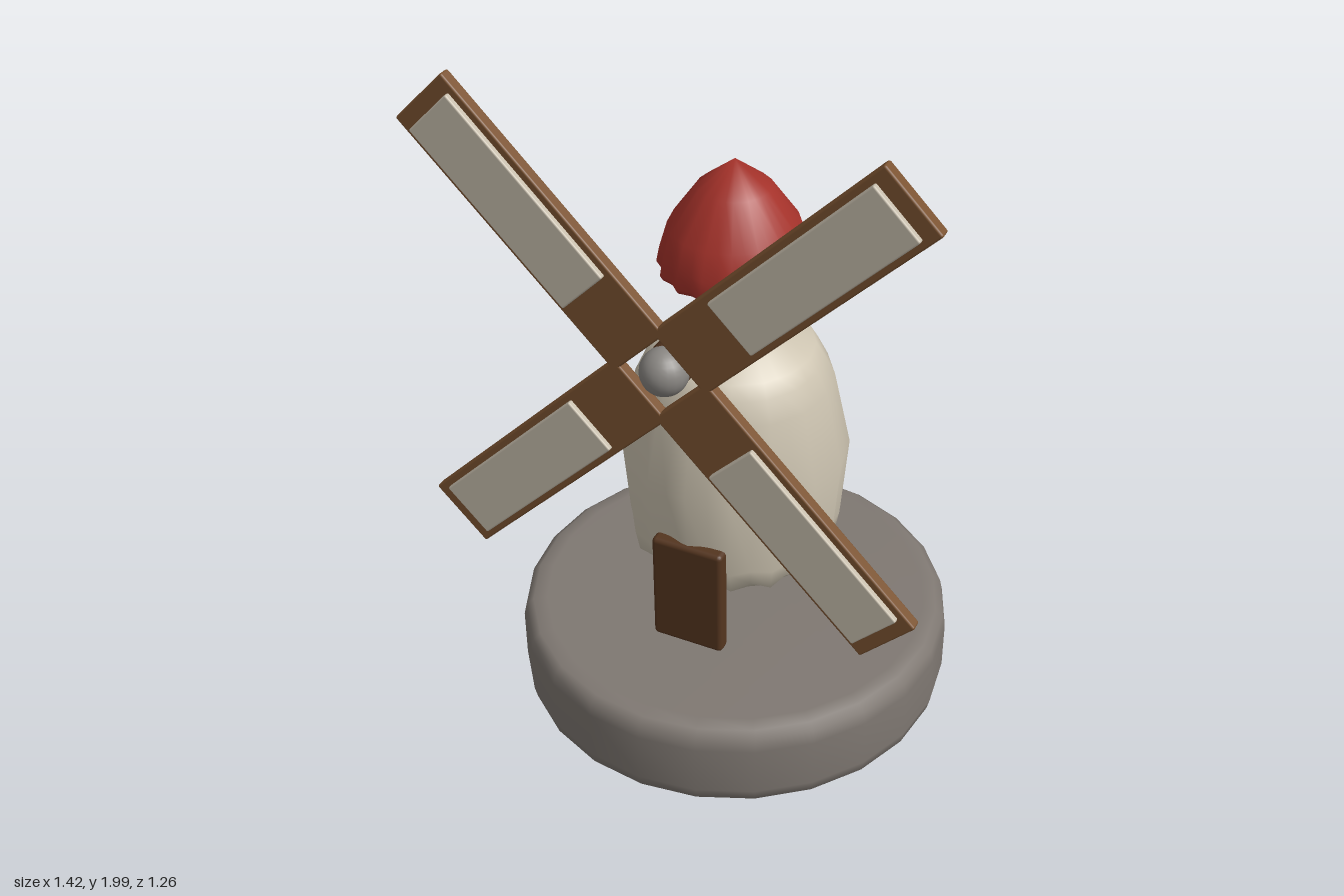
import * as THREE from 'three';
import { mergeVertices } from 'three/addons/utils/BufferGeometryUtils.js';
import { RoundedBoxGeometry } from 'three/addons/geometries/RoundedBoxGeometry.js';

function material(name, color) {
  const m = new THREE.MeshStandardMaterial({ color });
  m.name = name;
  return m;
}

// Lathe with seam welded; odd columns are scaled per profile point: [radius, y, oddScale, oddLift]
function flutedLathe(profile, segments) {
  const geo = new THREE.LatheGeometry(profile.map(([r, y]) => new THREE.Vector2(r, y)), segments);
  const pos = geo.attributes.position;
  const n = profile.length;
  for (let i = 0; i < pos.count; i++) {
    if (Math.floor(i / n) % 2 === 0) continue;
    const [, y, scale = 1, lift = 0] = profile[i % n];
    pos.setXYZ(i, pos.getX(i) * scale, y + lift, pos.getZ(i) * scale);
  }
  geo.deleteAttribute('uv');
  geo.deleteAttribute('normal');
  const welded = mergeVertices(geo, 1e-5);
  welded.computeVertexNormals();
  return welded;
}

export function createModel() {
  const model = new THREE.Group();
  model.name = 'windmill';
  const stone = material('stone grey', 0x7f7872);
  const plaster = material('cream plaster', 0xcdc4b1);
  const roofRed = material('roof red', 0xa5322a);
  const wood = material('sail wood', 0x7a5230);
  const darkWood = material('dark wood', 0x54351f);
  const cloth = material('sail cloth', 0xc6bdac);
  const metal = material('hub grey', 0x8a8783);

  function add(parent, name, geo, mat, x = 0, y = 0, z = 0) {
    const mesh = new THREE.Mesh(geo, mat);
    mesh.name = name;
    mesh.position.set(x, y, z);
    parent.add(mesh);
    return mesh;
  }

  // Round stone base with softened rims
  add(model, 'base', flutedLathe([
    [0, 0.005], [0.56, 0.005], [0.6, 0.008], [0.622, 0.025], [0.63, 0.06],
    [0.63, 0.21], [0.622, 0.247], [0.6, 0.265], [0.56, 0.27], [0, 0.27],
  ], 24), stone);

  // Barrel-shaped tower, pointed at both ends and fluted low down
  add(model, 'tower', flutedLathe([
    [0, 0.315], [0.24, 0.465, 0.98], [0.29, 0.495, 0.95, 0.015], [0.302, 0.56, 0.95],
    [0.323, 0.815, 0.981], [0.275, 1.04, 0.981], [0.245, 1.1, 0.981],
    [0.222, 1.14, 0.981], [0, 1.31],
  ], 32), plaster);

  // Pointed cap with a scalloped rim
  add(model, 'cap', flutedLathe([
    [0, 1.302], [0.2, 1.37, 0.93], [0.209, 1.385, 0.93], [0.2, 1.43, 0.95],
    [0.178, 1.505, 0.98], [0.1, 1.615, 0.98], [0, 1.692],
  ], 32), roofRed);

  // Door
  add(model, 'door', new RoundedBoxGeometry(0.214, 0.345, 0.046, 2, 0.014), darkWood, 0, 0.478, 0.299);

  // Rotor: axle, hub and four sails
  const rotor = new THREE.Group();
  rotor.name = 'rotor';
  rotor.position.y = 1.29;
  model.add(rotor);

  const axleProfile = [[0, -0.075], [0.045, -0.075], [0.058, -0.07], [0.062, -0.058],
    [0.062, 0.058], [0.058, 0.07], [0.045, 0.075], [0, 0.075]];
  const axle = add(rotor, 'axle', flutedLathe(axleProfile, 16), darkWood, 0, 0, 0.348);
  axle.rotation.x = Math.PI / 2;
  add(rotor, 'hub', new THREE.SphereGeometry(0.065, 20, 14), metal, 0, 0, 0.418);

  const bladeGeo = new RoundedBoxGeometry(0.205, 0.824, 0.035, 2, 0.006);
  const clothGeo = new RoundedBoxGeometry(0.165, 0.575, 0.02, 2, 0.005);
  for (let i = 0; i < 4; i++) {
    const sail = new THREE.Group();
    sail.name = 'sail' + (i + 1);
    sail.rotation.z = Math.PI / 4 + i * Math.PI / 2;
    rotor.add(sail);
    add(sail, 'sailFrame', bladeGeo, wood, 0, 0.49, 0.432);
    add(sail, 'sailCloth', clothGeo, cloth, 0, 0.569, 0.455);
  }

  return model;
}
